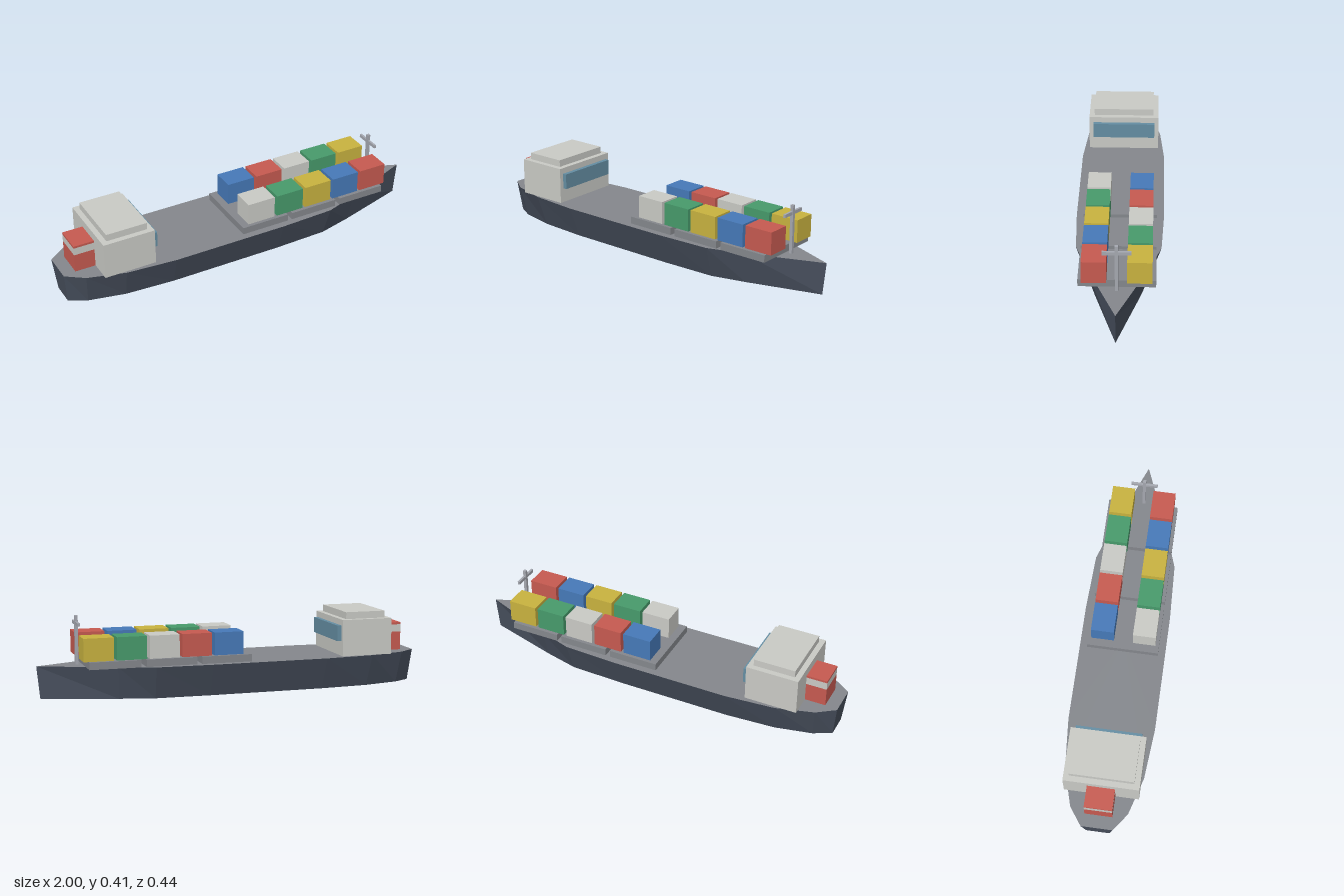
import * as THREE from 'three';

const mat = (name, color, extra = {}) =>
  Object.assign(new THREE.MeshStandardMaterial({ color, ...extra }), { name });

export function createModel() {
  const ship = new THREE.Group();
  ship.name = 'containerShip';

  const hullNavy = mat('hullNavy', 0x474f5d);
  const deckGrey = mat('deckGrey', 0x84878c);
  const white = mat('offWhite', 0xc9cac5);
  const red = mat('red', 0xc65a50);
  const green = mat('green', 0x479a6b);
  const yellow = mat('yellow', 0xc8b23f);
  const blue = mat('blue', 0x4679b8);
  const glass = mat('windowBlue', 0x648da2);
  const steel = mat('mastSteel', 0xa5a8b0);

  // Box given by its minimum and maximum on each axis
  function box(name, material, [x0, x1], [y0, y1], [z0, z1], parent = ship) {
    const mesh = new THREE.Mesh(new THREE.BoxGeometry(x1 - x0, y1 - y0, z1 - z0), material);
    mesh.position.set((x0 + x1) / 2, (y0 + y1) / 2, (z0 + z1) / 2);
    mesh.name = name;
    parent.add(mesh);
    return mesh;
  }

  // Hull: deck outline from bow to stern, tapering to a narrower flat keel
  const DECK = 0.166;
  const half = [
    [1, 0], [0.62, 0.15], [0.44, 0.21], [0.15, 0.222], [-0.46, 0.222],
    [-0.72, 0.2], [-0.91, 0.145], [-1, 0.08],
  ];
  const outline = [...half, ...half.slice(1).reverse().map(([x, z]) => [x, -z])];
  const top = outline.map(([x, z]) => [x, DECK, z]);
  const keel = outline.map(([x, z]) => [x * 0.983, 0, z * 0.742]);
  const sides = [], deck = [];
  top.forEach((a, i) => {
    const j = (i + 1) % top.length;
    const b = top[j], c = keel[i], d = keel[j];
    sides.push(...a, ...b, ...c, ...b, ...d, ...c);
    sides.push(0, 0, 0, ...c, ...d);
    deck.push(0, DECK, 0, ...b, ...a);
  });
  function surface(name, material, positions) {
    const geometry = new THREE.BufferGeometry();
    geometry.setAttribute('position', new THREE.Float32BufferAttribute(positions, 3));
    geometry.computeVertexNormals();
    const mesh = new THREE.Mesh(geometry, material);
    mesh.name = name;
    ship.add(mesh);
  }
  surface('hull', hullNavy, sides);
  surface('deck', deckGrey, deck);

  // Cargo hatches
  for (let i = 0; i < 3; i++) {
    const x = -0.065 + i * 0.287;
    box('hatch', deckGrey, [x, x + 0.261], [DECK, 0.203], [-0.185, 0.185]);
  }

  // Two rows of containers, listed from aft to bow
  const rows = [
    ['leftRow', -0.167, [blue, red, white, green, yellow]],
    ['rightRow', 0.049, [white, green, yellow, blue, red]],
  ];
  rows.forEach(([name, z, colours]) => {
    const row = new THREE.Group();
    row.name = name + 'Containers';
    ship.add(row);
    colours.forEach((material, i) => {
      const x = -0.025 + i * 0.167;
      box('container', material, [x, x + 0.152], [0.203, 0.319], [z, z + 0.118], row);
    });
  });

  // Deckhouse with roof and forward window
  const house = new THREE.Group();
  house.name = 'deckhouse';
  ship.add(house);
  box('houseBody', white, [-0.828, -0.557], [DECK, 0.355], [-0.189, 0.189], house);
  box('houseRoof', white, [-0.8, -0.585], [0.355, 0.391], [-0.161, 0.161], house);
  box('bridgeWindow', glass, [-0.557, -0.535], [0.243, 0.324], [-0.167, 0.167], house);

  // Funnel with a pale band
  const funnel = new THREE.Group();
  funnel.name = 'funnel';
  ship.add(funnel);
  const fx = [-0.935, -0.82], fz = [-0.07, 0.07];
  box('funnelBase', red, fx, [DECK, 0.262], fz, funnel);
  box('funnelBand', white, fx, [0.262, 0.301], fz, funnel);
  box('funnelCap', red, fx, [0.301, 0.312], fz, funnel);

  // Bow mast with crossbar
  const mast = new THREE.Group();
  mast.name = 'mast';
  ship.add(mast);
  box('mastPole', steel, [0.789, 0.805], [DECK, 0.413], [-0.008, 0.008], mast);
  box('mastCrossbar', steel, [0.791, 0.803], [0.365, 0.382], [-0.069, 0.069], mast);

  return ship;
}
